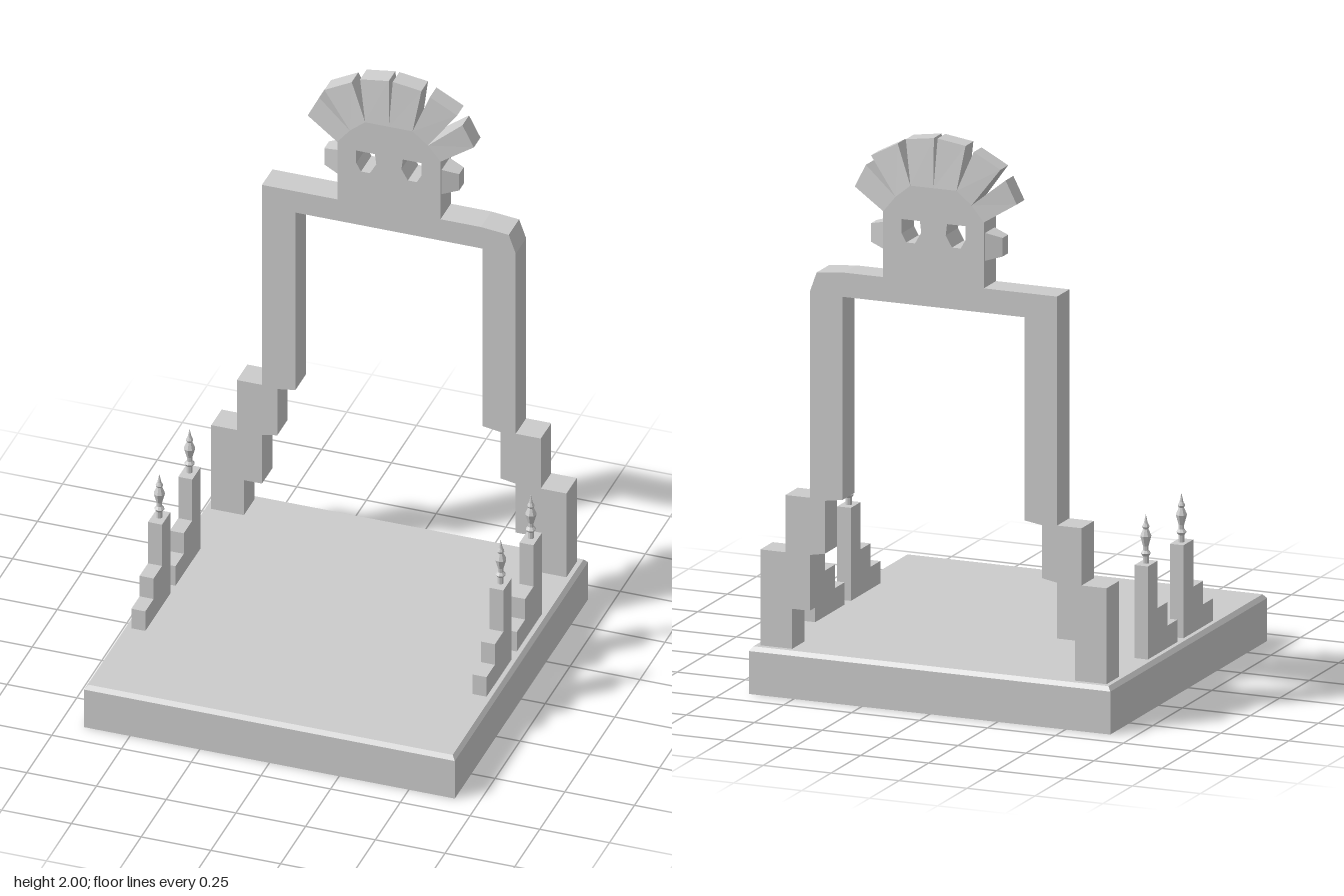
import * as THREE from 'three';

const material = new THREE.MeshStandardMaterial({ color: 0xcccccc, flatShading: true, side: THREE.DoubleSide });
const ARCH_Z = -0.58, ARCH_DEPTH = 0.104;

function add(parent, name, geometry) {
  const mesh = new THREE.Mesh(geometry, material);
  mesh.name = name;
  parent.add(mesh);
  return mesh;
}

// Extrudes an outline along z, centred on z = 0
function slab(points, depth, holes = []) {
  const toVectors = (list) => list.map(([x, y]) => new THREE.Vector2(x, y));
  const shape = new THREE.Shape(toVectors(points));
  for (const hole of holes) shape.holes.push(new THREE.Path(toVectors(hole)));
  return new THREE.ExtrudeGeometry(shape, { depth, bevelEnabled: false }).translate(0, 0, -depth / 2);
}

// Moves each vertex of a box by a rule
function reshape(geometry, rule) {
  const pos = geometry.attributes.position, v = new THREE.Vector3();
  for (let i = 0; i < pos.count; i++) {
    rule(v.fromBufferAttribute(pos, i));
    pos.setXYZ(i, v.x, v.y, v.z);
  }
  geometry.computeVertexNormals();
  return geometry;
}

// Four-cornered blade: outline corners root A, tip A, tip B, root B, thinner at the tip
function blade([rootA, tipA, tipB, rootB], rootDepth, tipDepth) {
  return reshape(new THREE.BoxGeometry(1, 1, 1), (v) => {
    const tip = v.y > 0;
    const [x, y] = v.x < 0 ? (tip ? tipA : rootA) : (tip ? tipB : rootB);
    v.set(x, y, Math.sign(v.z) * (tip ? tipDepth : rootDepth) / 2);
  });
}

const mirrorX = (points) => points.map(([x, y]) => [-x, y]).reverse();

function createArch() {
  const arch = new THREE.Group();
  arch.name = 'archway';
  arch.position.z = ARCH_Z;

  // Stepped legs and lintel in one outline; the left shoulder is chamfered
  const inner = [[0.335, 1.415], [0.335, 0.705], [0.4, 0.695], [0.4, 0.51], [0.455, 0.5],
    [0.455, 0.305], [0.52, 0.305], [0.52, 0.16]];
  const outer = [[0.637, 0.16], [0.637, 0.5], [0.545, 0.5], [0.545, 0.7], [0.455, 0.7]];
  const leftSide = [...inner, ...outer, [0.455, 1.42], [0.43, 1.49], [0.33, 1.5]];
  const rightSide = mirrorX([...inner, ...outer, [0.455, 1.5]]);
  add(arch, 'frame', slab([...leftSide, ...rightSide], ARCH_DEPTH));

  // Head with cut-out eyes
  const half = [[0.185, 1.49], [0.185, 1.73], [0.14, 1.785], [0.085, 1.83]];
  const eye = [[0.05, 1.71], [0.117, 1.71], [0.117, 1.66], [0.1, 1.63], [0.068, 1.63], [0.045, 1.67]];
  add(arch, 'head', slab([...half, [0, 1.83], ...mirrorX(half)], ARCH_DEPTH, [eye, mirrorX(eye)]));

  // Fan crest
  const feathers = [
    [[0, 1.83], [0.007, 2], [0.11, 1.985], [0.085, 1.83]],
    [[0.085, 1.83], [0.14, 1.967], [0.238, 1.915], [0.14, 1.785]],
    [[0.14, 1.785], [0.257, 1.88], [0.298, 1.8], [0.185, 1.73]],
  ];
  const ear = [[0.18, 1.692], [0.242, 1.675], [0.242, 1.61], [0.18, 1.592]];
  for (const side of [1, -1]) {
    const flip = (points) => (side > 0 ? points : mirrorX(points));
    for (const feather of feathers) add(arch, 'crestFeather', blade(flip(feather), ARCH_DEPTH, 0.066));
    add(arch, 'ear', blade(flip(ear), 0.084, 0.046));
  }
  return arch;
}

// Three-step pillar, tall at the back, topped by a turned finial
function createPillar() {
  const pillar = new THREE.Group();
  pillar.name = 'steppedPillar';
  const steps = [[-0.125, 0.16], [0.125, 0.16], [0.125, 0.243], [0.042, 0.243], [0.042, 0.325],
    [-0.042, 0.325], [-0.042, 0.49], [-0.125, 0.49]];
  add(pillar, 'steps', slab(steps, 0.05).rotateY(-Math.PI / 2));
  const profile = [[0.011, 0.485], [0.011, 0.515], [0.018, 0.525], [0.01, 0.535], [0.01, 0.55],
    [0.02, 0.585], [0.009, 0.61], [0.013, 0.618], [0.007, 0.63], [0, 0.662]];
  const finial = new THREE.LatheGeometry(profile.map(([r, y]) => new THREE.Vector2(r, y)), 8);
  add(pillar, 'finial', finial).position.z = -0.085;
  return pillar;
}

export function createModel() {
  const model = new THREE.Group();
  model.name = 'gateway';

  // Square plinth with a slim chamfer around its top
  const plinth = new THREE.BoxGeometry(1.33, 0.165, 1.33, 1, 2, 1).translate(0, 0.0825, 0);
  add(model, 'plinth', reshape(plinth, (v) => {
    if (v.y > 0.16) {
      v.x *= 0.982;
      v.z *= 0.982;
    } else if (v.y > 0.01) v.y = 0.15;
  }));

  model.add(createArch());

  for (const x of [-0.612, 0.612]) {
    for (const z of [0.145, -0.157]) {
      const pillar = createPillar();
      pillar.position.set(x, 0, z);
      model.add(pillar);
    }
  }
  return model;
}
